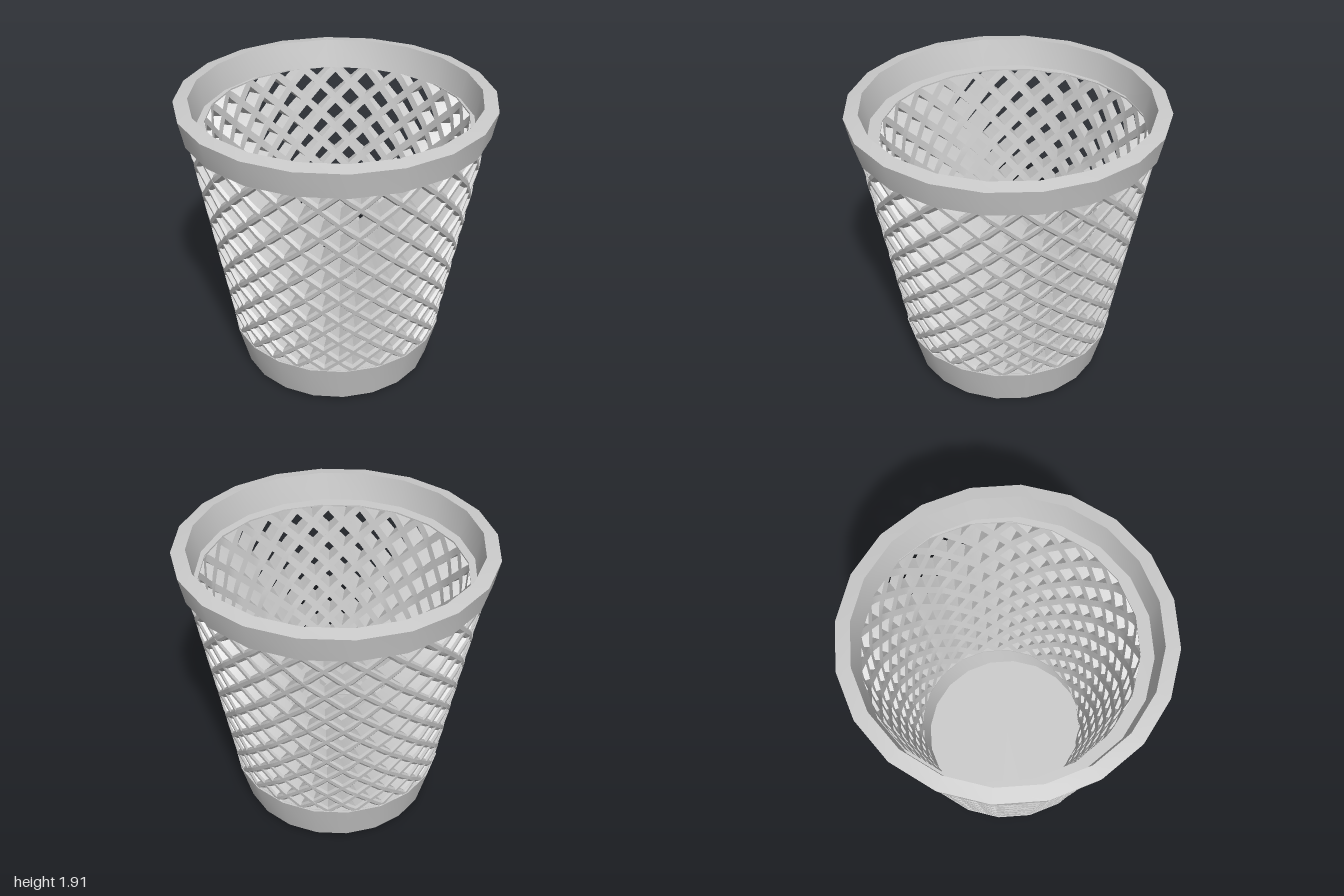
import * as THREE from 'three';
import { toCreasedNormals } from 'three/addons/utils/BufferGeometryUtils.js';

const SIDES = 20, STRANDS = 24, ROWS = 7.5;
const Y0 = 0.3, Y1 = 1.73;          // lattice bottom and top
const INNER_SHIFT = -0.045;         // inner surface sits slightly towards the back
const lerp = THREE.MathUtils.lerp;

export function createModel() {
  const model = new THREE.Group();
  const material = new THREE.MeshStandardMaterial({ color: 0xcccccc, side: THREE.DoubleSide });

  const add = (name, geometry, parent = model) => {
    const mesh = new THREE.Mesh(toCreasedNormals(geometry, 0.45), material);
    mesh.name = name;
    parent.add(mesh);
    return mesh;
  };
  const lathe = (name, points) =>
    add(name, new THREE.LatheGeometry(points.map(([r, y]) => new THREE.Vector2(r, y)), SIDES));

  // Solid base cup with a shallow domed underside
  lathe('base', [[0, 0], [0.3, 0.008], [0.635, 0.03], [0.705, Y0], [0.61, Y0], [0.575, 0.06], [0, 0.06]]);

  // Thick upper rim, closed all round
  lathe('rim', [[0.87, Y1], [0.965, Y1], [1, 1.9], [0.91, 1.915], [0.87, Y1]]);

  // Thin ledges that close the lattice ends against the base and rim
  const ring = (r, dz) => Array.from({ length: SIDES }, (_, i) => {
    const a = (i / SIDES) * Math.PI * 2;
    return new THREE.Vector2(r * Math.cos(a), r * Math.sin(a) - dz);
  });
  const ledge = (name, outer, inner, y) => {
    const shape = new THREE.Shape(ring(outer, 0));
    shape.holes.push(new THREE.Path(ring(inner, INNER_SHIFT)));
    const g = new THREE.ExtrudeGeometry(shape, { depth: 0.01, bevelEnabled: false });
    add(name, g.rotateX(-Math.PI / 2).translate(0, y, 0));
  };
  ledge('lowerLedge', 0.69, 0.565, Y0 - 0.008);
  ledge('upperLedge', 0.94, 0.835, Y1 - 0.004);

  // Lattice wall: radii of both surfaces, and a point at a given depth through it
  const outerR = y => lerp(0.7, 0.945, (y - Y0) / (Y1 - Y0));
  const innerR = y => lerp(0.565, 0.835, (y - Y0) / (Y1 - Y0));
  const step = (Math.PI * 2) / SIDES;
  const facet = a => { // follow the flat sides of the polygon
    const m = ((a % step) + step) % step;
    return Math.cos(step / 2) / Math.cos(m - step / 2);
  };
  const wallPoint = (a, y, depth) => {
    const r = lerp(outerR(y), innerR(y), depth) * facet(a);
    return [r * Math.sin(a), y, r * Math.cos(a) + INNER_SHIFT * depth];
  };

  // Spiral angle: diamonds shrink with the radius towards the bottom
  const pitch = (Math.PI * 2) / STRANDS;
  const twist = y => ROWS * pitch * Math.log(outerR(y) / outerR(Y1)) / Math.log(outerR(Y1) / outerR(Y0));

  // Strand cross-section: sideways offset and depth, with a bevelled outer face
  const W = 0.026;
  const section = [[-W, 0.13], [-W * 0.45, 0], [W * 0.45, 0], [W, 0.13], [W, 1], [-W, 1]];

  const strand = (dir, start) => {
    const steps = 44, n = section.length, pos = [], idx = [];
    for (let i = 0; i <= steps; i++) {
      const y = lerp(Y0 - 0.02, Y1 + 0.02, i / steps);
      const a = start + dir * twist(y);
      for (const [s, depth] of section) {
        const py = THREE.MathUtils.clamp(y - dir * s * 0.73, Y0, Y1);
        pos.push(...wallPoint(a + (s * 0.69) / outerR(y), py, depth));
      }
    }
    for (let i = 0; i < steps; i++) {
      for (let j = 0; j < n; j++) {
        const k = (j + 1) % n, p = i * n, q = p + n;
        idx.push(p + j, p + k, q + k, p + j, q + k, q + j);
      }
    }
    const g = new THREE.BufferGeometry();
    g.setAttribute('position', new THREE.Float32BufferAttribute(pos, 3));
    g.setIndex(idx);
    return g;
  };

  // Two opposite families of spiral strands
  const lattice = new THREE.Group();
  lattice.name = 'lattice';
  model.add(lattice);
  for (const dir of [1, -1]) {
    for (let i = 0; i < STRANDS; i++) {
      add(dir > 0 ? 'rightStrand' : 'leftStrand', strand(dir, i * pitch), lattice);
    }
  }
  return model;
}
